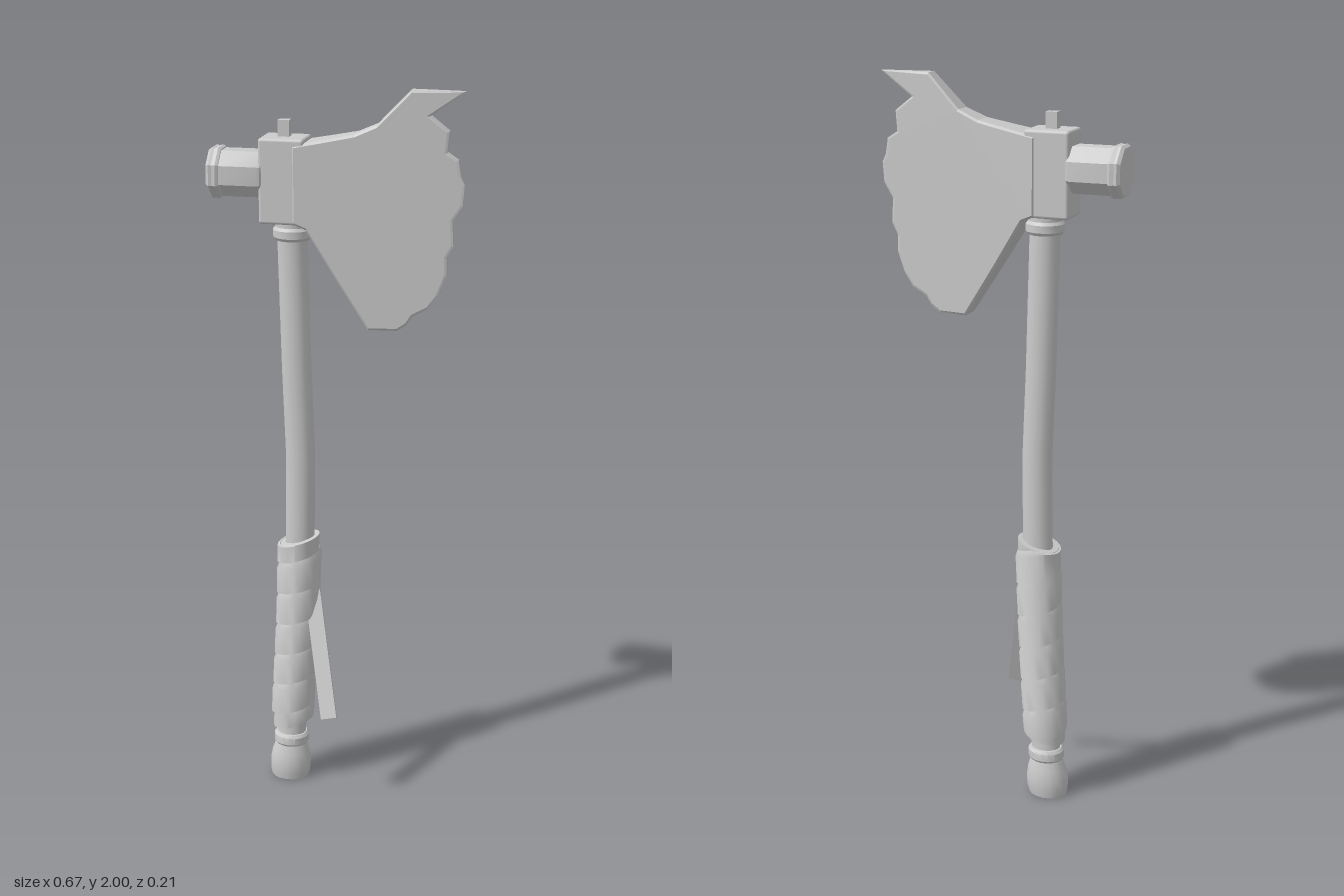
import * as THREE from 'three';
import { toCreasedNormals } from 'three/addons/utils/BufferGeometryUtils.js';
import { RoundedBoxGeometry } from 'three/addons/geometries/RoundedBoxGeometry.js';
import { ParametricGeometry } from 'three/addons/geometries/ParametricGeometry.js';

const Z = -0.037; // centre plane of the axe

// centre line of the bent shaft
const spine = [[0, -0.141], [0.2, -0.132], [0.5, -0.115], [0.8, -0.105], [1.0, -0.103], [1.25, -0.112], [1.66, -0.122]];
function spineX(y) {
  for (let i = 1; i < spine.length; i++) {
    const [y0, x0] = spine[i - 1], [y1, x1] = spine[i];
    if (y <= y1) return x0 + (x1 - x0) * (y - y0) / (y1 - y0);
  }
  return spine[spine.length - 1][1];
}

// oval turned part following the shaft; profile points are [radius, y]
function turned(profile, zScale, sides = 16, tilt = 0) {
  const geo = new THREE.LatheGeometry(profile.map(p => new THREE.Vector2(...p)), sides);
  const pos = geo.attributes.position;
  for (let i = 0; i < pos.count; i++) {
    const x = pos.getX(i), y = pos.getY(i);
    pos.setXYZ(i, x + spineX(y), y + tilt * x, pos.getZ(i) * zScale + Z);
  }
  return toCreasedNormals(geo, 0.6);
}

export function createModel() {
  const group = new THREE.Group();
  group.name = 'axe';
  const grey = new THREE.MeshStandardMaterial({ color: 0xcccccc, side: THREE.DoubleSide });
  grey.name = 'plain grey';
  const add = (name, geo, x = 0, y = 0, z = 0) => {
    const mesh = new THREE.Mesh(geo, grey);
    mesh.name = name;
    mesh.position.set(x, y, z);
    group.add(mesh);
    return mesh;
  };

  // shaft, collars and end knob
  add('shaft', turned([0.1, 0.3, 0.5, 0.7, 0.8, 0.9, 1.0, 1.12, 1.25, 1.45, 1.66].map(y => [0.041, y]), 0.82));
  add('upperCollar', turned([[0.03, 1.605], [0.045, 1.605], [0.051, 1.613], [0.051, 1.632], [0.045, 1.64], [0.045, 1.66]], 0.95));
  add('lowerCollar', turned([[0.03, 0.108], [0.045, 0.108], [0.051, 0.115], [0.051, 0.136], [0.045, 0.144], [0.03, 0.144]], 0.9));
  add('knob', turned([[0.0001, 0], [0.054, 0], [0.059, 0.02], [0.06, 0.05], [0.055, 0.08], [0.044, 0.112]], 0.8));

  // grip: a slanted core with a spiral binding of overlapping turns
  add('gripCore', turned([[0.035, 0.18], [0.055, 0.18], [0.055, 0.3], [0.055, 0.5], [0.055, 0.65], [0.055, 0.755], [0.035, 0.755]], 1.04, 20, 0.3));
  const turns = 6, pitch = 0.095, steps = 120;
  const section = [[0, 0.054], [0, 0.0615], [0.8, 0.0625], [1, 0.056]]; // [height share, radius]
  const binding = new ParametricGeometry((u, v, out) => {
    const a = u * turns * Math.PI * 2;
    const [h, r] = section[Math.round(v * 3)];
    const x = Math.sin(a) * r;
    const y = THREE.MathUtils.clamp(0.155 + (u * turns + h) * pitch - 0.02, 0.18 + 0.3 * x, 0.755 + 0.3 * x);
    out.set(x + spineX(y), y, Math.cos(a) * r * 1.02 + Z);
  }, steps, 3);
  add('gripBinding', toCreasedNormals(binding, 0.6));

  // loose strap end hanging from the grip
  const from = new THREE.Vector3(-0.07, 0.6, -0.032), to = new THREE.Vector3(0.005, 0.268, 0.095);
  const dir = to.clone().sub(from);
  const strap = add('strap', new THREE.BoxGeometry(0.044, dir.length(), 0.014));
  strap.position.copy(from).add(to).multiplyScalar(0.5);
  const yAxis = dir.clone().normalize().negate();
  const zAxis = new THREE.Vector3(0.15, 0, 1).projectOnPlane(yAxis).normalize();
  const xAxis = yAxis.clone().cross(zAxis);
  strap.quaternion.setFromRotationMatrix(new THREE.Matrix4().makeBasis(xAxis, yAxis, zAxis));

  // head block with its top peg
  add('headBlock', new RoundedBoxGeometry(0.12, 0.222, 0.103, 2, 0.008), -0.139, 1.762, Z);
  add('topPeg', new THREE.BoxGeometry(0.03, 0.06, 0.026), -0.14, 1.885, -0.039);

  // eight-sided hammer poll and its flared face, turned about the x axis
  const poll = (name, profile) => {
    const geo = new THREE.LatheGeometry(profile.map(p => new THREE.Vector2(...p)), 8, Math.PI / 8);
    add(name, toCreasedNormals(geo, 0.4), -0.19, 1.775, Z).rotation.z = Math.PI / 2;
  };
  poll('poll', [[0.055, 0], [0.061, 0.004], [0.064, 0.012], [0.064, 0.12]]);
  poll('pollFace', [[0.055, 0.111], [0.067, 0.113], [0.071, 0.12], [0.069, 0.13], [0.071, 0.138], [0.064, 0.146], [0.0001, 0.146]]);

  // blade: ragged outline, thinned to a wedge towards the cutting edge
  const outline = [
    [-0.11, 1.857], [-0.03, 1.872], [0.05, 1.888], [0.105, 1.912], [0.19, 2.0], [0.328, 2.0], [0.24, 1.937],
    [0.289, 1.9], [0.285, 1.846], [0.314, 1.828], [0.321, 1.785], [0.331, 1.765], [0.327, 1.712], [0.302, 1.672],
    [0.306, 1.607], [0.289, 1.575], [0.29, 1.53], [0.27, 1.475], [0.245, 1.44], [0.205, 1.418], [0.19, 1.395],
    [0.165, 1.378], [0.088, 1.378], [0.0, 1.517], [-0.075, 1.64], [-0.11, 1.655],
  ].map(p => new THREE.Vector2(...p));
  const blade = new THREE.ExtrudeGeometry(new THREE.Shape(outline), {
    depth: 1.7, bevelThickness: 0.15, bevelSize: 0.006, bevelOffset: -0.006, bevelSegments: 1,
  });
  const pos = blade.attributes.position;
  for (let i = 0; i < pos.count; i++) {
    const half = 0.055 - (pos.getX(i) + 0.1) * 0.115;
    pos.setZ(i, (pos.getZ(i) - 0.85) * half + Z);
  }
  blade.computeVertexNormals();
  add('blade', blade);

  return group;
}
